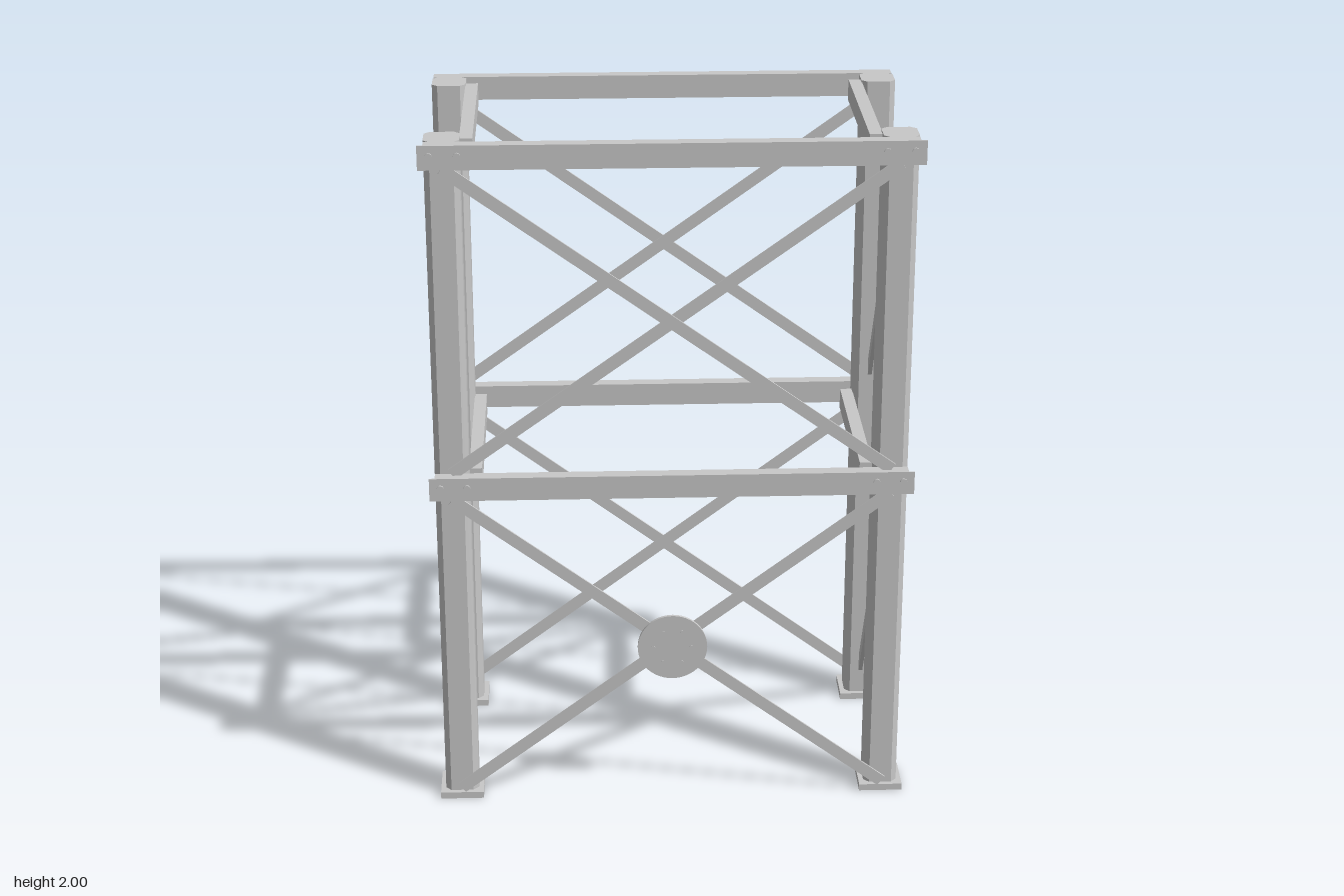
import * as THREE from 'three';

export function createModel() {
  const model = new THREE.Group();
  model.name = 'bracedFrame';
  const steel = new THREE.MeshStandardMaterial({ color: 0xc8c8c8 });
  steel.name = 'light steel grey';

  const add = (name, geometry, x, y, z) => {
    const mesh = new THREE.Mesh(geometry, steel);
    mesh.name = name;
    mesh.position.set(x, y, z);
    model.add(mesh);
    return mesh;
  };
  const box = (name, w, h, d, x, y, z) => add(name, new THREE.BoxGeometry(w, h, d), x, y, z);
  const disc = (name, r, depth, x, y, z, sides) =>
    add(name, new THREE.CylinderGeometry(r, r, depth, sides).rotateX(Math.PI / 2), x, y, z);

  const postX = 0.618;
  const postZ = [0.28, -0.287];

  // Square posts with bevelled corners, standing on base plates
  const h = 0.0485, c = 0.016;
  const section = new THREE.Shape([
    [-h + c, -h], [h - c, -h], [h, -h + c], [h, h - c],
    [h - c, h], [-h + c, h], [-h, h - c], [-h, -h + c],
  ].map(([x, y]) => new THREE.Vector2(x, y)));
  const postGeometry = new THREE.ExtrudeGeometry(section, { depth: 1.98, bevelEnabled: false });
  postGeometry.rotateX(-Math.PI / 2);
  for (const side of [-1, 1]) {
    for (const z of postZ) {
      add('post', postGeometry, side * postX, 0.02, z);
      box('basePlate', 0.126, 0.02, 0.126, side * postX, 0.01, z);
    }
  }

  // Horizontal beams at mid height and at the top
  for (const y of [1.003, 1.966]) {
    box('frontBeam', 1.33, 0.068, 0.034, 0, y, 0.3445);
    box('frontBeamFace', 1.362, 0.068, 0.004, 0, y, 0.3635);
    box('backBeam', 1.33, 0.068, 0.038, 0, y, -0.353);
    for (const side of [-1, 1]) {
      box('sideBeam', 0.036, 0.06, 0.566, side * 0.553, y - 0.002, -0.004);
      for (const x of [0.575, 0.65]) disc('beamBolt', 0.01, 0.006, side * x, y + 0.005, 0.368, 8);
    }
  }

  // Flat crossed braces on the front and back of each storey
  const span = 0.618;
  for (const [low, high] of [[0.035, 0.965], [1.04, 1.93]]) {
    const rise = high - low;
    const length = Math.hypot(2 * span, rise);
    for (const [inner, step, name] of [[0.340, 0.007, 'frontBrace'], [-0.348, -0.007, 'backBrace']]) {
      [1, -1].forEach((dir, i) => {
        const brace = box(name, length, 0.035, 0.006, 0, (low + high) / 2, inner + i * step);
        brace.rotation.z = dir * Math.atan2(rise, 2 * span);
      });
    }
  }

  // Single diagonals on both sides, high at the front and low at the back
  for (const [yFront, yBack] of [[0.928, 0.082], [1.896, 1.084]]) {
    const dz = 0.52, dy = yFront - yBack;
    for (const side of [-1, 1]) {
      const bar = box('sideDiagonal', 0.012, 0.031, Math.hypot(dz, dy), side * postX, (yFront + yBack) / 2, -0.004);
      bar.rotation.x = -Math.atan2(dy, dz);
    }
  }

  // Round plate with a ring of small studs where the lower front braces cross
  disc('centreDisc', 0.1, 0.009, 0, 0.5, 0.3645, 48);
  for (let i = 0; i < 6; i++) {
    const a = (i * Math.PI) / 3;
    disc('discStud', 0.006, 0.003, 0.055 * Math.cos(a), 0.5 + 0.055 * Math.sin(a), 0.3695, 8);
  }

  return model;
}
